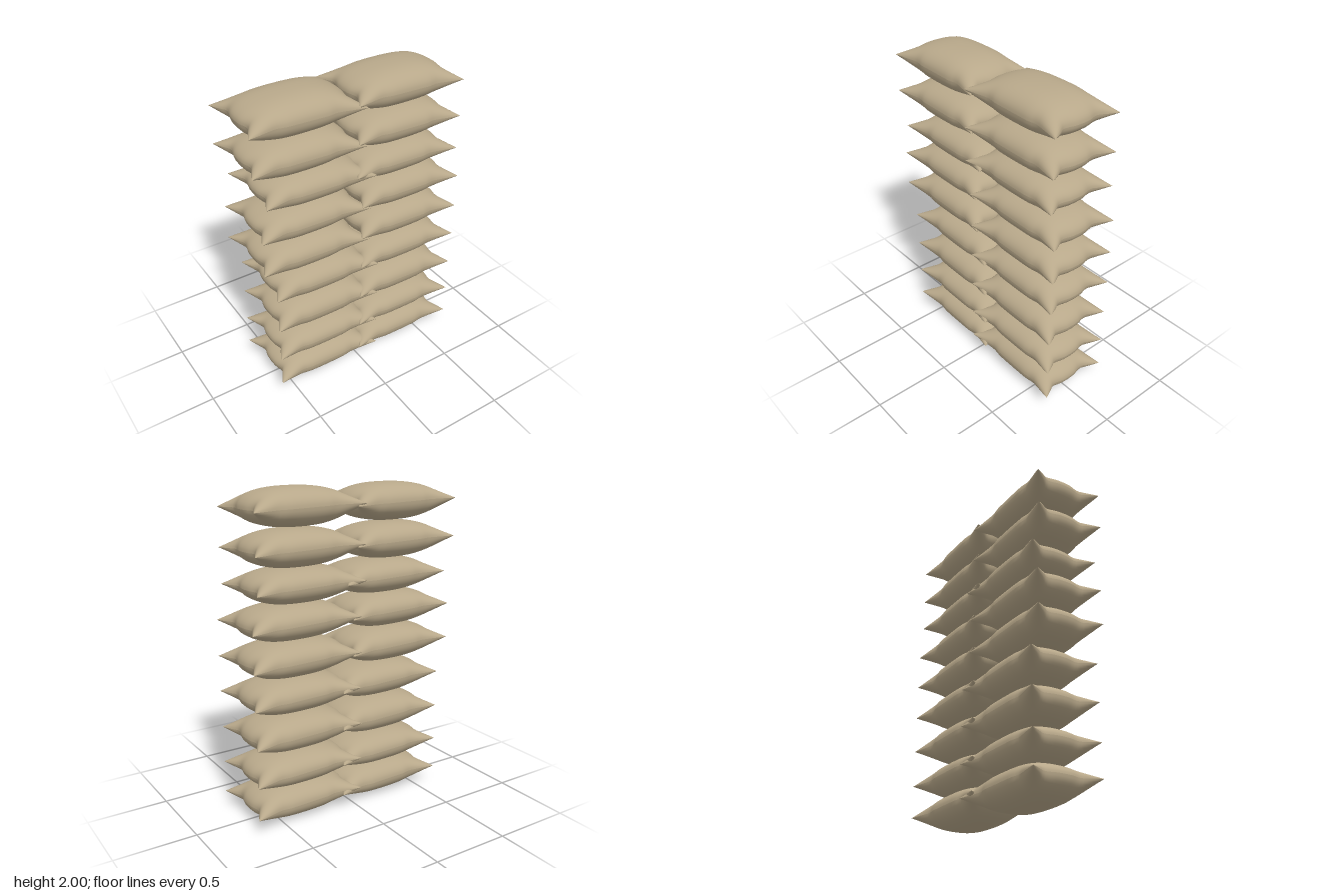
import * as THREE from 'three';
import { mergeGeometries } from 'three/addons/utils/BufferGeometryUtils.js';

// Seam outline: [position along the edge, half size], pinched before the corners
const END_EDGE = [[0, 0.325], [0.25, 0.322], [0.5, 0.306], [0.62, 0.309], [1, 0.362]];
const LONG_EDGE = [[0, 0.208], [0.42, 0.208], [0.54, 0.197], [0.66, 0.202], [1, 0.232]];

function sample(edge, t) {
  const a = Math.min(Math.abs(t), 1);
  for (let i = 1; i < edge.length; i++) {
    const [t0, v0] = edge[i - 1], [t1, v1] = edge[i];
    if (a <= t1) return THREE.MathUtils.lerp(v0, v1, (a - t0) / (t1 - t0));
  }
  return edge[edge.length - 1][1];
}

// One half of a stuffed sack: a square sheet puffed up (side 1) or down (side -1)
function sheet(side) {
  const geo = new THREE.PlaneGeometry(2, 2, 32, 28);
  geo.rotateX(-side * Math.PI / 2);
  const pos = geo.attributes.position;
  const puff = (t) => Math.pow(Math.max(0, 1 - Math.pow(Math.abs(t), 2.5)), 0.48);
  for (let i = 0; i < pos.count; i++) {
    // Crowd the grid lines towards the seam, where the sack is roundest
    const u = Math.sin(pos.getX(i) * Math.PI / 2);
    const v = Math.sin(pos.getZ(i) * Math.PI / 2);
    const x = u * (0.325 + (sample(END_EDGE, v) - 0.325) * u ** 4);
    const z = v * (0.208 + (sample(LONG_EDGE, u) - 0.208) * v ** 4);
    const bulge = puff(u) * puff(v);
    const seam = (0.05 - 0.08 * u) * (1 - bulge);
    pos.setXYZ(i, x, side * bulge + seam, z);
  }
  geo.computeVertexNormals();
  return geo;
}

// Each layer from the ground up: [bottom, top, left-hand sack x, right-hand sack x]
const LAYERS = [
  [0, 0.22, -0.25, 0.34],
  [0.205, 0.42, -0.25, 0.34],
  [0.43, 0.66, -0.25, 0.34],
  [0.67, 0.89, -0.25, 0.345],
  [0.89, 1.115, -0.32, 0.345],
  [1.115, 1.335, -0.32, 0.345],
  [1.33, 1.545, -0.28, 0.31],
  [1.54, 1.765, -0.35, 0.315],
  [1.77, 2, -0.35, 0.315],
];

export function createModel() {
  const group = new THREE.Group();
  group.name = 'sackStack';
  const canvas = new THREE.MeshStandardMaterial({ color: 0xb8a88a });
  canvas.name = 'tanCanvas';
  const sack = mergeGeometries([sheet(1), sheet(-1)]);

  LAYERS.forEach(([bottom, top, ...columns], row) => {
    const layer = new THREE.Group();
    layer.name = `layer${row + 1}`;
    columns.forEach((x, i) => {
      const mesh = new THREE.Mesh(sack, canvas);
      mesh.name = i ? 'leftSack' : 'rightSack';
      mesh.position.set(x, (bottom + top) / 2, 0);
      mesh.scale.y = (top - bottom) / 2;
      layer.add(mesh);
    });
    group.add(layer);
  });
  return group;
}
